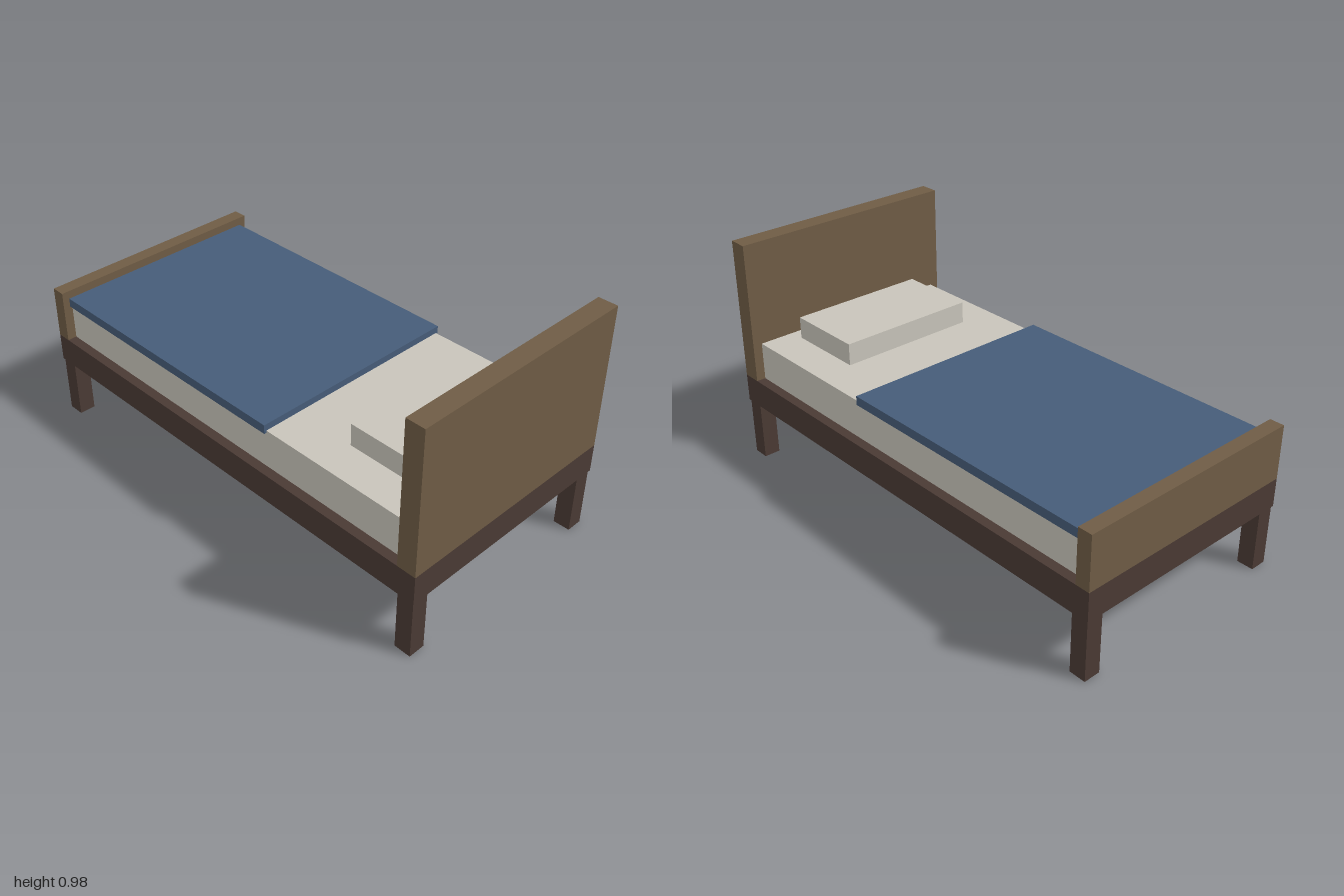
import * as THREE from 'three';

export function createModel() {
  const bed = new THREE.Group();
  bed.name = 'bed';

  const material = (name, color) => {
    const m = new THREE.MeshStandardMaterial({ color });
    m.name = name;
    return m;
  };
  const darkWood = material('dark wood', 0x4a3a34);
  const wood = material('wood', 0x6f5c45);
  const linen = material('linen', 0xc8c4ba);
  const blue = material('blue blanket', 0x465c78);

  // Box given by its ranges along x, y and z
  const box = (name, mat, [x0, x1], [y0, y1], [z0, z1]) => {
    const mesh = new THREE.Mesh(new THREE.BoxGeometry(x1 - x0, y1 - y0, z1 - z0), mat);
    mesh.position.set((x0 + x1) / 2, (y0 + y1) / 2, (z0 + z1) / 2);
    mesh.name = name;
    bed.add(mesh);
  };

  const width = [-0.495, 0.495];

  // Frame and end boards
  box('frame', darkWood, width, [0.255, 0.375], [-1, 1]);
  box('headboard', wood, width, [0.375, 0.98], [0.92, 1]);
  box('footboard', wood, width, [0.375, 0.6], [-1, -0.94]);

  // Four square legs
  for (const [side, x] of [['left', 0.455], ['right', -0.455]]) {
    for (const [end, z] of [['front', 0.96], ['back', -0.96]]) {
      box(`${end} ${side} leg`, darkWood, [x - 0.035, x + 0.035], [0, 0.255], [z - 0.035, z + 0.035]);
    }
  }

  // Bedding
  box('mattress', linen, [-0.455, 0.455], [0.375, 0.537], [-0.94, 0.92]);
  box('pillow', linen, [-0.3, 0.3], [0.537, 0.63], [0.515, 0.857]);
  box('blanket', blue, [-0.465, 0.465], [0.527, 0.565], [-0.94, 0.25]);

  return bed;
}
